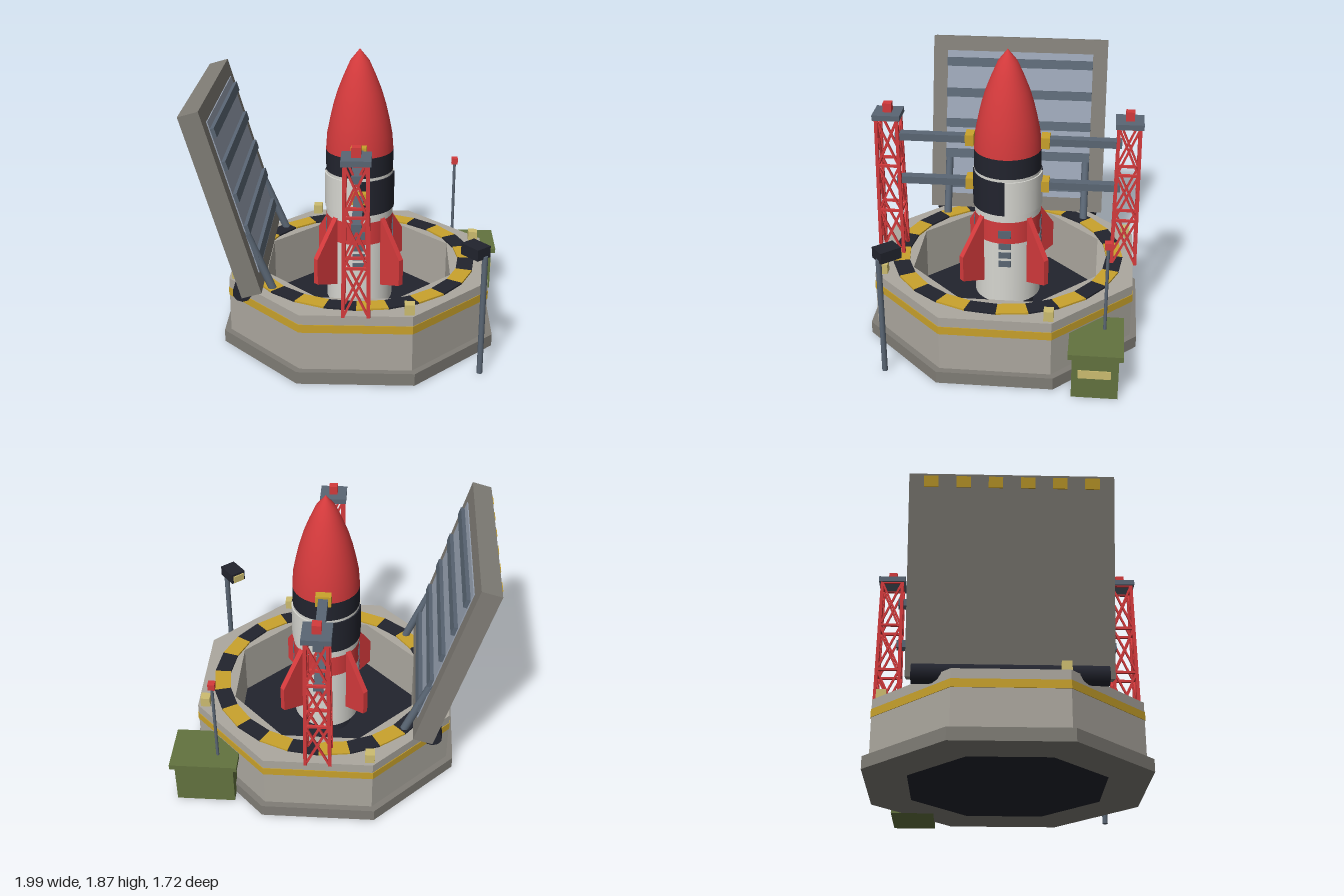
import * as THREE from 'three';

const mat = (name, color) => {
  const m = new THREE.MeshStandardMaterial({ color });
  m.name = name;
  return m;
};
const M = {
  concrete: mat('concrete', 0xaca89f),
  darkConcrete: mat('dark concrete', 0x807d76),
  slate: mat('slate steel', 0x5a6674),
  paleSlate: mat('pale steel', 0x98a2b2),
  black: mat('black', 0x22242e),
  red: mat('red', 0xd43a3c),
  white: mat('white', 0xd6d6d0),
  yellow: mat('yellow', 0xc9a22c),
  green: mat('green', 0x63733f),
  cream: mat('cream', 0xcdbd70),
};
const CX = 0.053; // centre line of the pad and rocket
const DECK = 0.445; // height of the deck

function add(parent, name, geometry, material, x = 0, y = 0, z = 0) {
  const mesh = new THREE.Mesh(geometry, material);
  mesh.name = name;
  mesh.position.set(x, y, z);
  parent.add(mesh);
  return mesh;
}
const box = (parent, name, m, w, h, d, x, y, z) =>
  add(parent, name, new THREE.BoxGeometry(w, h, d), m, x, y, z);
function group(parent, name, x = 0, y = 0, z = 0) {
  const g = new THREE.Group();
  g.name = name;
  g.position.set(x, y, z);
  parent.add(g);
  return g;
}
// Bar stretched between two points, square or round
function bar(parent, name, m, a, b, size, round = false) {
  const len = a.distanceTo(b);
  const geo = round ? new THREE.CylinderGeometry(size / 2, size / 2, len, 12) : new THREE.BoxGeometry(size, len, size);
  const mesh = add(parent, name, geo, m);
  mesh.position.copy(a).add(b).multiplyScalar(0.5);
  mesh.quaternion.setFromUnitVectors(new THREE.Vector3(0, 1, 0), b.clone().sub(a).normalize());
  return mesh;
}
const V = (x, y, z) => new THREE.Vector3(x, y, z);

// Flat outline raised from y0 to y1
function slab(shape, y0, y1) {
  return new THREE.ExtrudeGeometry(shape, { depth: y1 - y0, bevelEnabled: false }).rotateX(-Math.PI / 2).translate(0, y0, 0);
}
function octagon(apothem) {
  const r = apothem / Math.cos(Math.PI / 8);
  return Array.from({ length: 8 }, (_, i) => {
    const a = Math.PI / 8 + (i * Math.PI) / 4;
    return new THREE.Vector2(r * Math.cos(a), r * Math.sin(a));
  });
}
function octRing(outer, inner, y0, y1) {
  const shape = new THREE.Shape(octagon(outer));
  if (inner) shape.holes.push(new THREE.Path(octagon(inner).reverse()));
  return slab(shape, y0, y1);
}

function buildPad(root) {
  const pad = group(root, 'launchPad', CX);
  add(pad, 'footing', octRing(0.862, 0.6, 0, 0.08), M.darkConcrete);
  add(pad, 'padWall', octRing(0.821, 0.588, 0.08, DECK), M.concrete);
  add(pad, 'wallStripe', octRing(0.825, 0.81, 0.33, 0.382), M.yellow);
  add(pad, 'pitFloor', octRing(0.6, 0, 0, 0.09), M.black);
  // Hazard ring: 24 alternating blocks
  for (let k = 0; k < 24; k++) {
    const a = (-k * Math.PI) / 12, b = a - Math.PI / 12;
    const p = (r, t) => new THREE.Vector2(r * Math.cos(t), r * Math.sin(t));
    const s = new THREE.Shape([p(0.65, b), p(0.756, b), p(0.756, a), p(0.65, a)]);
    add(pad, 'hazardBlock', slab(s, 0.435, 0.456), k % 2 ? M.yellow : M.black);
  }
  // Deck lamps, one per quarter turn
  for (const [x, z] of [[-0.32, -0.77], [0.77, -0.32], [0.32, 0.77], [-0.77, 0.32]])
    box(pad, 'deckLamp', M.cream, 0.06, 0.066, 0.06, x, DECK + 0.033, z);
}

function buildRocket(root) {
  const rocket = group(root, 'rocket', CX);
  const R = 0.215;
  const band = (name, m, y0, y1, r0 = R, r1 = R) =>
    add(rocket, name, new THREE.CylinderGeometry(r1, r0, y1 - y0, 32), m, 0, (y0 + y1) / 2, 0);
  band('engineNozzle', M.black, 0.09, 0.2, 0.17, 0.11);
  band('lowerBody', M.white, 0.19, 0.63);
  band('redBand', M.red, 0.63, 0.782);
  band('upperBody', M.white, 0.782, 1.083);
  band('blackBand', M.black, 1.083, 1.215);
  const profile = [[R, 1.215], [0.207, 1.32], [0.187, 1.42], [0.166, 1.51], [0.139, 1.6], [0.104, 1.69], [0.06, 1.79], [0, 1.865]];
  add(rocket, 'noseCone', new THREE.LatheGeometry(profile.map(([x, y]) => new THREE.Vector2(x, y)), 32), M.red);
  // Checker collar in four quarters
  for (let i = 0; i < 4; i++)
    add(rocket, 'collarQuarter', new THREE.CylinderGeometry(0.224, 0.224, 0.23, 8, 1, false, (i * Math.PI) / 2, Math.PI / 2),
      i % 2 ? M.white : M.black, 0, 0.949, 0);
  // Fins on the diagonals
  const fin = new THREE.Shape([[0.19, 0.32], [0.385, 0.38], [0.385, 0.555], [0.2, 0.815], [0.19, 0.815]].map(([x, y]) => new THREE.Vector2(x, y)));
  const finGeo = new THREE.ExtrudeGeometry(fin, { depth: 0.036, bevelEnabled: false }).translate(0, 0, -0.018);
  for (let i = 0; i < 4; i++) {
    add(rocket, 'fin', finGeo, M.red).rotation.y = Math.PI / 4 + (i * Math.PI) / 2;
    // Column of hatches on each side
    const side = group(rocket, 'hatchColumn');
    side.rotation.y = (i * Math.PI) / 2;
    for (const [y, h] of [[0.697, 0.054], [0.611, 0.042], [0.547, 0.042], [0.484, 0.042]])
      box(side, 'hatch', M.slate, 0.08, h, 0.009, 0, y, 0.2145);
  }
}

function buildTower(root, s) {
  const tower = group(root, s > 0 ? 'frontTower' : 'backTower', CX, 0, s * 0.76);
  const levels = [DECK, 0.762, 1.079, 1.396];
  const half = (i) => 0.076 - i * 0.0035;
  const corner = (i, c) => {
    const a = Math.PI / 4 + (c * Math.PI) / 2, r = half(i) * Math.SQRT2;
    return V(r * Math.cos(a), levels[i], r * Math.sin(a));
  };
  for (let i = 0; i < 3; i++)
    for (let c = 0; c < 4; c++) {
      bar(tower, 'towerLeg', M.red, corner(i, c), corner(i + 1, c), 0.021);
      bar(tower, 'crossBrace', M.red, corner(i, c), corner(i + 1, c + 1), 0.013);
      bar(tower, 'crossBrace', M.red, corner(i, c + 1), corner(i + 1, c), 0.013);
      bar(tower, 'towerRing', M.red, corner(i + 1, c), corner(i + 1, c + 1), 0.016);
    }
  box(tower, 'towerPlatform', M.slate, 0.175, 0.035, 0.175, 0, 1.412, 0);
  box(tower, 'towerBeacon', M.red, 0.055, 0.058, 0.055, 0, 1.459, 0);
  // Service arms with clamps
  for (const y of [0.966, 1.267]) {
    box(tower, 'serviceArm', M.slate, 0.06, 0.048, 0.5, 0, y, s * -0.292);
    box(tower, 'armClamp', M.yellow, 0.098, 0.074, 0.055, 0, y, s * -0.52);
  }
}

function buildDoor(root) {
  // Local +x is the inner face, local y runs up the leaf
  const door = group(root, 'hatchDoor', -0.758, 1.037, 0);
  door.rotation.z = 0.278;
  box(door, 'doorLeaf', M.darkConcrete, 0.128, 1.206, 1.21, 0, 0, 0);
  box(door, 'innerPanel', M.paleSlate, 0.014, 1.01, 1.01, 0.064, 0, 0);
  for (let i = -2; i <= 2; i++) box(door, 'panelRib', M.slate, 0.034, 0.06, 1.01, 0.079, i * 0.214, 0);
  for (let i = 0; i < 6; i++) box(door, 'edgeMarker', M.yellow, 0.02, 0.066, 0.085, -0.066, 0.555, -0.475 + i * 0.19);
  add(root, 'doorHinge', new THREE.CylinderGeometry(0.06, 0.06, 1.14, 10).rotateX(Math.PI / 2), M.black, -0.655, 0.457, 0);
  for (const s of [-1, 1]) {
    bar(root, 'doorStrut', M.slate, V(-0.635, 0.84, s * 0.48), V(-0.475, 0.45, s * 0.48), 0.052, true);
  }
}

function buildHut(root) {
  const hut = group(root, 'controlHut');
  box(hut, 'hutWalls', M.green, 0.373, 0.284, 0.28, 0.786, 0.142, -0.609);
  box(hut, 'hutRoof', M.green, 0.428, 0.034, 0.33, 0.786, 0.301, -0.609);
  box(hut, 'hutWindow', M.cream, 0.008, 0.055, 0.198, 0.974, 0.168, -0.605);
  bar(hut, 'antenna', M.slate, V(0.705, 0.31, -0.657), V(0.705, 0.885, -0.657), 0.02, true);
  box(hut, 'antennaBeacon', M.red, 0.043, 0.043, 0.043, 0.705, 0.899, -0.657);
}

function buildFloodlight(root) {
  bar(root, 'lightPost', M.slate, V(0.813, 0, 0.695), V(0.813, 0.79, 0.695), 0.036, true);
  const head = group(root, 'floodlight', 0.76, 0.811, 0.655);
  head.rotation.y = Math.atan2(-0.65, -0.76);
  box(head, 'lightHousing', M.black, 0.105, 0.072, 0.14, 0, 0, 0);
  box(head, 'lightLens', M.cream, 0.08, 0.05, 0.02, 0, -0.005, 0.07);
}

export function createModel() {
  const root = new THREE.Group();
  root.name = 'rocketLaunchPad';
  buildPad(root);
  buildRocket(root);
  for (const s of [-1, 1]) buildTower(root, s);
  buildDoor(root);
  buildHut(root);
  buildFloodlight(root);
  return root;
}
